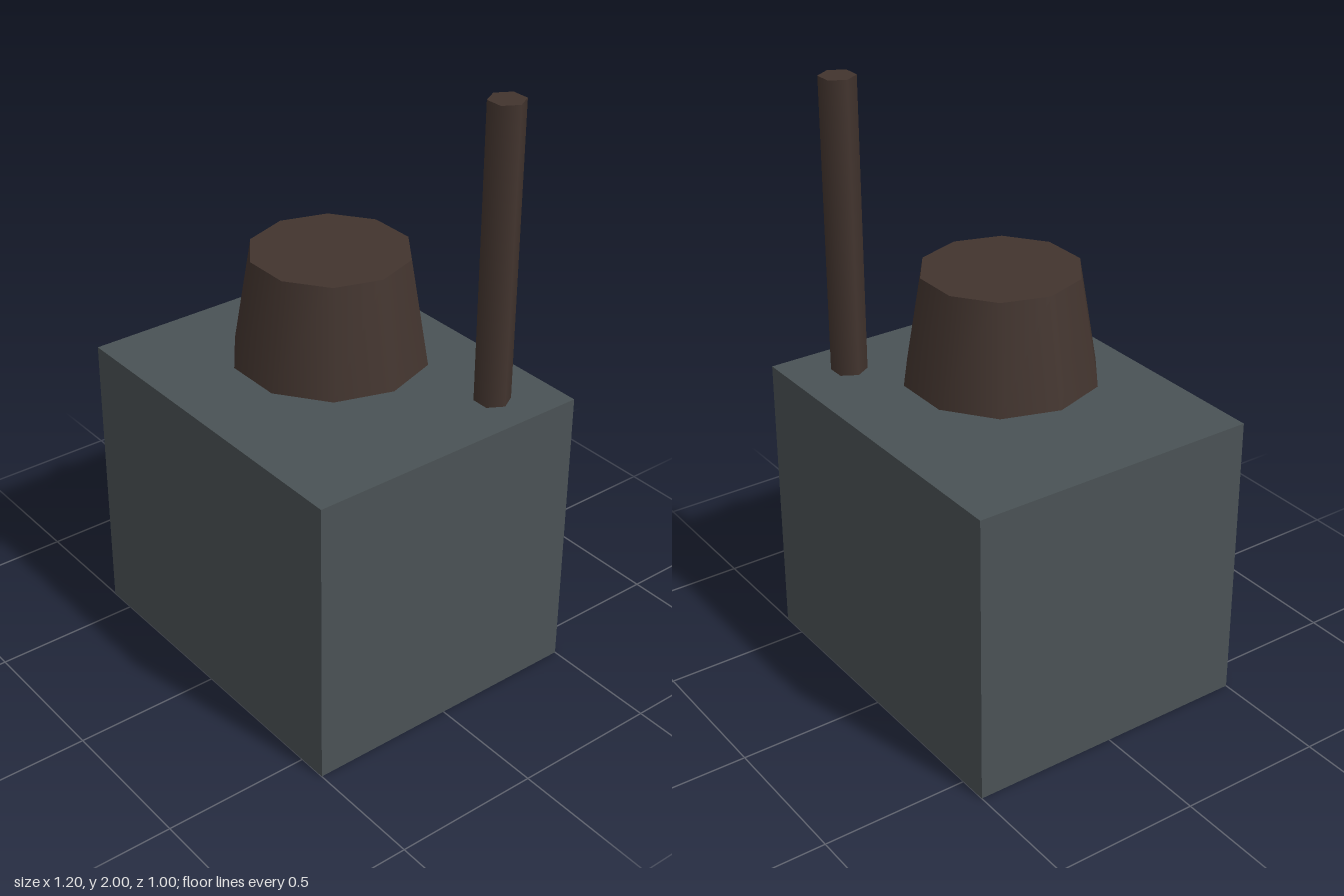
import * as THREE from 'three';

const slate = new THREE.MeshStandardMaterial({ name: 'slate grey', color: 0x4a5255 });
const brown = new THREE.MeshStandardMaterial({ name: 'dark brown', color: 0x42342e });
const copper = new THREE.MeshStandardMaterial({ name: 'copper', color: 0xbc7638 });

export function createModel() {
  const model = new THREE.Group();
  model.name = 'stoveWithChimney';

  const add = (name, geometry, material, x, y, z) => {
    const mesh = new THREE.Mesh(geometry, material);
    mesh.name = name;
    mesh.position.set(x, y, z);
    model.add(mesh);
  };

  // Upright round part from y0 to y1, turned so that a corner points along +x
  const round = (name, material, rTop, rBottom, y0, y1, sides, x = 0, z = 0) => {
    const geometry = new THREE.CylinderGeometry(rTop, rBottom, y1 - y0, sides);
    geometry.rotateY(Math.PI / 2);
    add(name, geometry, material, x, (y0 + y1) / 2, z);
  };

  // Block body
  add('body', new THREE.BoxGeometry(1.2, 1, 1), slate, 0, 0.5, 0);

  // Copper neck carrying the tapered cap
  round('neck', copper, 0.16, 0.16, 1, 1.08, 12);
  round('cap', brown, 0.26, 0.32, 1.08, 1.44, 10);

  // Tall pipe at the back left corner
  round('pipe', brown, 0.06, 0.06, 1, 2, 6, 0.44, -0.3);

  return model;
}
